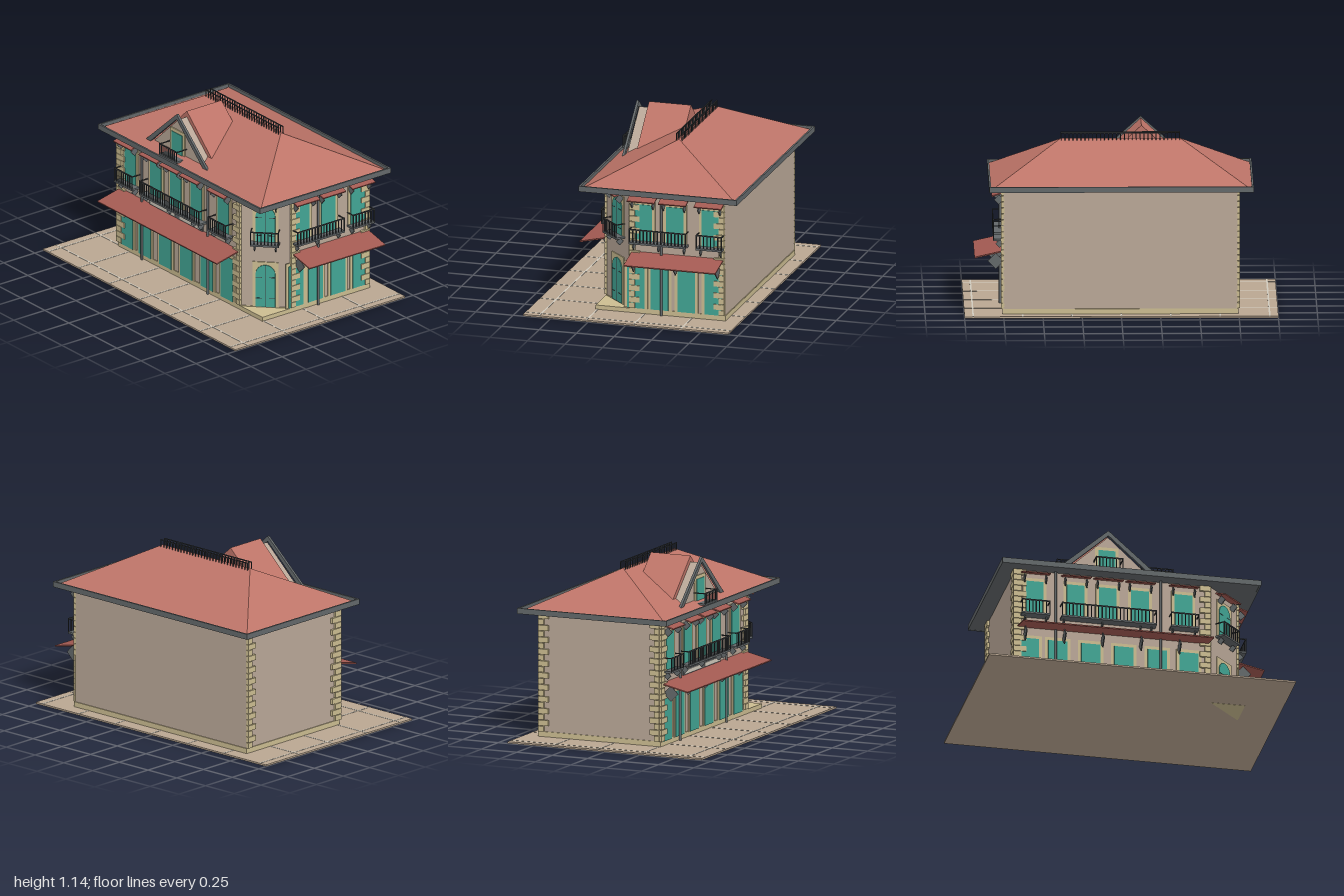
import * as THREE from 'three';

const mat = (name, color, side = THREE.FrontSide) => {
  const m = new THREE.MeshStandardMaterial({ color, side });
  m.name = name;
  return m;
};

export function createModel() {
  const wall = mat('taupe plaster', 0xb9a797), stone = mat('tan stone', 0xcbbc90);
  const teal = mat('teal shutters', 0x42a594), tile = mat('roof tile', 0xbd7468);
  const canvas = mat('awning red', 0xa35a52), metal = mat('grey metal', 0x63686a);
  const iron = mat('dark iron', 0x3b3e41), pale = mat('pale joints', 0xd0cabd);
  const paving = mat('paving', 0xb9a691);

  const model = new THREE.Group();
  model.name = 'cornerHouse';
  const group = (name, parent = model) => {
    const g = new THREE.Group();
    g.name = name;
    parent.add(g);
    return g;
  };
  const mesh = (parent, name, geo, m) => {
    const o = new THREE.Mesh(geo, m);
    o.name = name;
    parent.add(o);
    return o;
  };
  // Box given by its minimum and maximum corners
  const box = (parent, name, m, x0, x1, y0, y1, z0, z1) => {
    const o = mesh(parent, name, new THREE.BoxGeometry(x1 - x0, y1 - y0, z1 - z0), m);
    o.position.set((x0 + x1) / 2, (y0 + y1) / 2, (z0 + z1) / 2);
    return o;
  };
  const poly = pts => new THREE.Shape(pts.map(p => new THREE.Vector2(...p)));
  const extrude = (shape, depth) =>
    new THREE.ExtrudeGeometry(shape, { depth, bevelEnabled: false, curveSegments: 10 });
  // Plan outline (x, z) raised from y0 to y1
  const raise = (pts, y0, y1) =>
    extrude(poly(pts.map(([x, z]) => [x, -z])), y1 - y0).rotateX(-Math.PI / 2).translate(0, y0, 0);

  // Pavement with joints
  box(model, 'pavement', paving, -1, 1, 0.001, 0.012, -0.685, 0.685);
  const joints = group('pavementJoints');
  for (let i = -3; i <= 3; i++)
    box(joints, 'joint', pale, i * 0.315 - 0.005, i * 0.315 + 0.005, 0.011, 0.0135, -0.685, 0.685);
  for (let i = 0; i < 4; i++)
    box(joints, 'joint', pale, -1, 1, 0.011, 0.0135, 0.573 - i * 0.315, 0.583 - i * 0.315);

  // Walls with the cut corner, plinth and corner step
  const L = -0.74, R = 0.75, F = 0.27, B = -0.585;
  mesh(model, 'walls', raise([[L, F], [0.53, F], [R, 0.05], [R, B], [L, B]], 0.005, 0.83), wall);
  const e = 0.006;
  mesh(model, 'plinth', raise([[L - e, F + e], [0.53, F + e], [R + e, 0.05], [R + e, B - e], [L - e, B - e]], 0.005, 0.045), stone);
  mesh(model, 'cornerStep', raise([[0.53, F + e], [R + e, F + e], [R + e, 0.05]], 0, 0.04), stone);

  // Facades: local x runs along the wall, local z points outward
  const facade = (name, x, z, angle) => {
    const g = group(name);
    g.position.set(x, 0, z);
    g.rotation.y = angle;
    return g;
  };
  const front = facade('frontFacade', 0, F, 0);
  const right = facade('sideFacade', R, 0, Math.PI / 2);
  const corner = facade('cornerFacade', 0.64, 0.16, Math.PI / 4);
  const blind = facade('blindFacade', L, 0, -Math.PI / 2);

  // Diamond-shaped bracket plate
  const bracket = (p, u, y, z, size) => {
    const o = mesh(p, 'bracket', new THREE.BoxGeometry(0.007, size, size), metal);
    o.position.set(u, y, z);
    o.rotation.x = Math.PI / 4;
  };
  // Thin sloping awning
  const awning = (p, u0, u1, yIn, yOut, depth) => {
    const o = mesh(p, 'awning', new THREE.BoxGeometry(u1 - u0, 0.008, Math.hypot(depth, yIn - yOut)), canvas);
    o.position.set((u0 + u1) / 2, (yIn + yOut) / 2, depth / 2);
    o.rotation.x = Math.atan2(yIn - yOut, depth);
  };
  const railing = (p, u0, u1, y0, y1, depth) => {
    const t = 0.006, n = Math.round((u1 - u0) / 0.024);
    for (let i = 0; i <= n; i++) {
      const u = u0 + t / 2 + (u1 - u0 - t) * i / n;
      box(p, 'baluster', iron, u - t / 2, u + t / 2, y0, y1, depth - t, depth);
    }
    box(p, 'handrail', iron, u0, u1, y1 - t, y1 + 0.002, depth - t, depth);
    for (const u of [u0, u1 - t]) box(p, 'sideRail', iron, u, u + t, y1 - t, y1, 0, depth);
  };
  const balcony = (p, u0, u1, brackets) => {
    const g = group('balcony', p);
    box(g, 'deck', metal, u0, u1, 0.485, 0.497, 0, 0.066);
    railing(g, u0, u1, 0.49, 0.585, 0.066);
    for (const u of brackets) bracket(g, u, 0.463, 0.026, 0.036);
  };
  const opening = (p, name, u, w, y0, y1) => {
    box(p, name + 'Frame', stone, u - w / 2 - 0.02, u + w / 2 + 0.02, y0, y1 + 0.022, 0, 0.007);
    box(p, name, teal, u - w / 2, u + w / 2, y0, y1, 0, 0.011);
  };
  const upperWindow = (p, u) => {
    opening(p, 'window', u, 0.115, 0.49, 0.738);
    hood(p, u);
  };
  const hood = (p, u) => {
    awning(p, u - 0.092, u + 0.092, 0.797, 0.772, 0.075);
    for (const s of [-1, 1]) bracket(p, u + s * 0.07, 0.748, 0.03, 0.044);
  };
  // Alternating long and short corner stones
  const quoins = (p, u, dir, over = 0) => {
    for (let i = 0; i < 20; i++) {
      const a = u - dir * over, b = u + dir * (i % 2 ? 0.07 : 0.038);
      box(p, 'quoin', stone, Math.min(a, b), Math.max(a, b), 0.046 + i * 0.0385, 0.081 + i * 0.0385, -0.005, 0.016);
    }
  };
  const drainpipe = (p, u) =>
    mesh(p, 'drainpipe', new THREE.CylinderGeometry(0.008, 0.008, 0.81, 8), metal).position.set(u, 0.417, 0.018);

  // Front
  for (const u of [-0.65, -0.465, -0.25, -0.035, 0.183, 0.39]) opening(front, 'door', u, 0.125, 0.04, 0.335);
  for (const u of [-0.615, -0.35, -0.14, 0.07, 0.353]) upperWindow(front, u);
  balcony(front, -0.71, -0.525, [-0.685, -0.545]);
  balcony(front, -0.45, 0.17, [-0.43, -0.18, 0.07, 0.14]);
  balcony(front, 0.262, 0.447, [0.28, 0.425]);
  awning(front, -0.728, 0.515, 0.417, 0.375, 0.187);
  for (const u of [-0.685, -0.43, -0.18, 0.07, 0.32]) bracket(front, u, 0.35, 0.05, 0.073);
  quoins(front, L, 1, 0.015);
  quoins(front, 0.53, -1);
  drainpipe(front, -0.482);
  drainpipe(front, 0.203);

  // Blank fascia board above the awning
  box(front, 'fasciaBoard', metal, -0.415, 0.135, 0.418, 0.457, 0, 0.008);
  for (const [a, b] of [[-0.4, -0.15], [-0.1, 0.125]])
    box(front, 'fasciaPanel', pale, a, b, 0.426, 0.449, 0.002, 0.011);

  // Side
  for (const u of [-0.007, 0.151, 0.33, 0.509]) opening(right, 'door', u, 0.117, 0.045, 0.335);
  for (const u of [0.044, 0.253, 0.491]) upperWindow(right, u);
  balcony(right, -0.037, 0.343, [-0.015, 0.15, 0.32]);
  balcony(right, 0.41, 0.583, [0.43, 0.565]);
  awning(right, -0.035, 0.577, 0.417, 0.375, 0.185);
  for (const u of [-0.01, 0.27, 0.55]) bracket(right, u, 0.35, 0.05, 0.073);
  quoins(right, -0.05, 1);
  quoins(right, -B, -1);
  drainpipe(right, 0.166);

  // Blind side
  quoins(blind, F, -1);
  quoins(blind, B, 1);

  // Cut corner with arched doors
  const archedDoor = (y0, top) => {
    const r = 0.063, s = new THREE.Shape();
    s.moveTo(-r, y0);
    s.lineTo(r, y0);
    s.lineTo(r, top - r);
    s.absarc(0, top - r, r, 0, Math.PI);
    s.closePath();
    box(corner, 'archSurround', stone, -0.083, 0.083, y0, top + 0.02, 0, 0.006);
    mesh(corner, 'archedDoor', extrude(s, 0.009), teal).position.z = 0.002;
    box(corner, 'doorSeam', iron, -0.0015, 0.0015, y0, top, 0.008, 0.012);
    for (const f of [0.2, 0.7]) for (const d of [-1, 1]) {
      const y = y0 + (top - y0) * f;
      box(corner, 'hinge', iron, d * 0.042 - 0.02, d * 0.042 + 0.02, y, y + 0.004, 0.008, 0.013);
    }
  };
  archedDoor(0.045, 0.335);
  archedDoor(0.49, 0.738);
  hood(corner, 0);
  balcony(corner, -0.092, 0.092, [-0.068, 0.068]);

  // Hipped roof, soffit and gutter
  const X = 0.835, z0 = -0.685, z1 = 0.355, yE = 0.825, yR = 1.075, rx = 0.38, rz = -0.165;
  const [a, b, c, d, p, q] = [[-X, yE, z1], [X, yE, z1], [X, yE, z0], [-X, yE, z0], [-rx, yR, rz], [rx, yR, rz]];
  const roofGeo = new THREE.BufferGeometry();
  roofGeo.setAttribute('position', new THREE.Float32BufferAttribute(
    [a, b, q, a, q, p, b, c, q, c, d, p, c, p, q, d, a, p].flat(), 3));
  roofGeo.computeVertexNormals();
  mesh(model, 'hippedRoof', roofGeo, tile);
  box(model, 'soffit', metal, -X, X, 0.815, 0.824, z0, z1);
  const gutter = group('gutter');
  for (const s of [-1, 1]) box(gutter, 'endGutter', metal, s * 0.837 - 0.006, s * 0.837 + 0.006, 0.814, 0.85, -0.692, 0.362);
  for (const z of [-0.686, 0.356]) box(gutter, 'longGutter', metal, -0.843, 0.843, 0.814, 0.85, z - 0.006, z + 0.006);

  // Iron cresting on the ridge
  const cresting = group('ridgeCresting');
  for (const z of [-0.148, -0.184]) {
    box(cresting, 'crestRail', iron, -rx, rx, 1.109, 1.115, z - 0.003, z + 0.003);
    for (let i = 0; i <= 30; i++) {
      const x = -rx + 0.0025 + i * (2 * rx - 0.005) / 30;
      box(cresting, 'crestPost', iron, x - 0.0025, x + 0.0025, 1.06, 1.113, z - 0.0025, z + 0.0025);
    }
  }

  // Dormer with gable, bargeboards, window and small balcony
  const dormer = group('dormer');
  dormer.position.x = -0.135;
  mesh(dormer, 'dormerRoof', extrude(poly([[-0.31, 0.855], [0.31, 0.855], [0, 1.143]]), 0.28), tile).position.z = -0.085;
  mesh(dormer, 'gableWall', extrude(poly([[-0.29, 0.835], [0.29, 0.835], [0, 1.103]]), 0.066), wall).position.z = 0.194;
  mesh(dormer, 'bargeboards', extrude(poly([[-0.318, 0.862], [-0.285, 0.85], [0, 1.108], [0.285, 0.85],
    [0.318, 0.862], [0, 1.143]]), 0.016), metal).position.z = 0.262;
  const dormerFront = group('dormerFront', dormer);
  dormerFront.position.z = 0.26;
  opening(dormerFront, 'dormerWindow', -0.008, 0.112, 0.855, 1.005);
  box(dormerFront, 'dormerDeck', metal, -0.095, 0.085, 0.845, 0.857, 0, 0.085);
  railing(dormerFront, -0.095, 0.085, 0.85, 0.925, 0.085);

  return model;
}
